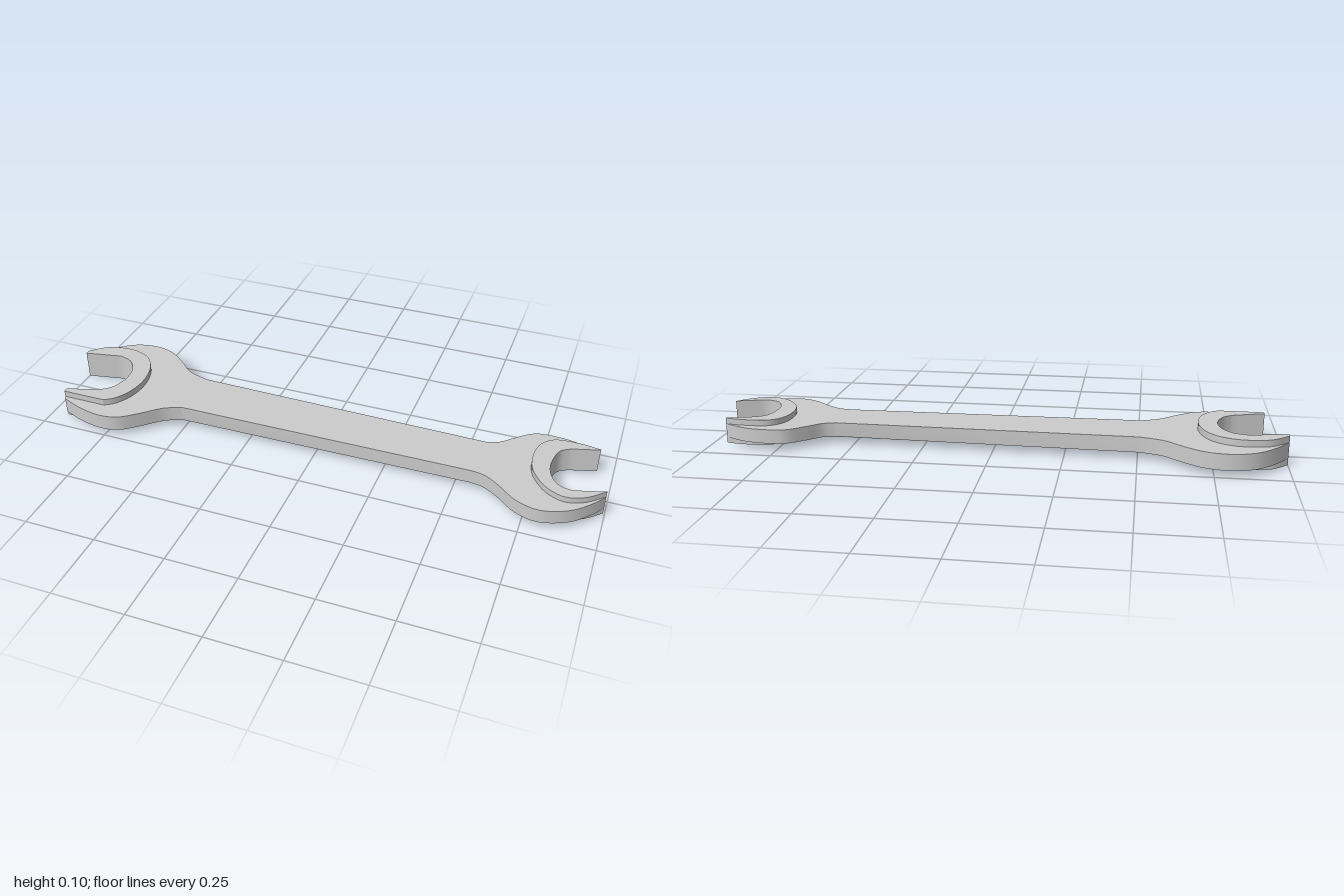
import * as THREE from 'three';
import { toCreasedNormals } from 'three/addons/utils/BufferGeometryUtils.js';

const steel = new THREE.MeshStandardMaterial({ color: 0xcccccc });

// Smooth curve through a few [x, z] points
function curve(points) {
  return new THREE.SplineCurve(points.map(([x, z]) => new THREE.Vector2(x, z)))
    .getPoints((points.length - 1) * 4);
}

// Flat plate from joined curves, lying in the xz plane between y = low and y = high
function plate(name, curves, low, high) {
  const outline = curves.flat().filter((p, i, all) => i === 0 || p.distanceTo(all[i - 1]) > 1e-4);
  if (outline[0].distanceTo(outline[outline.length - 1]) < 1e-4) outline.pop();
  const geometry = new THREE.ExtrudeGeometry(new THREE.Shape(outline), {
    depth: 1, bevelEnabled: false,
  });
  geometry.rotateX(Math.PI / 2);
  const pos = geometry.attributes.position;
  for (let i = 0; i < pos.count; i++) {
    const x = pos.getX(i);
    pos.setY(i, pos.getY(i) > -0.5 ? high(x) : low(x));
  }
  const mesh = new THREE.Mesh(toCreasedNormals(geometry, 0.5), steel);
  mesh.name = name;
  return mesh;
}

export function createModel() {
  const group = new THREE.Group();
  group.name = 'openEndedWrench';

  // Back edges of the raised jaws, from the back (-z) tip to the front (+z) tip
  const largeSeat = curve([[-1, -0.09], [-0.945, -0.14], [-0.89, -0.156], [-0.825, -0.156],
    [-0.76, -0.125], [-0.72, -0.065], [-0.703, 0.02], [-0.715, 0.1], [-0.745, 0.155],
    [-0.78, 0.182]]).concat(curve([[-0.78, 0.182], [-0.94, 0.182]]));
  const smallSeat = curve([[0.945, -0.148], [0.885, -0.157], [0.82, -0.157], [0.78, -0.146],
    [0.748, -0.11], [0.735, -0.05], [0.745, 0.03], [0.79, 0.1], [0.84, 0.135],
    [0.885, 0.142], [0.94, 0.12], [0.995, 0.07]]);

  // Jaw openings, from the front tip back to the back tip
  const largeOpening = [
    ...curve([[-0.942, 0.165], [-0.825, 0.127]]),
    ...curve([[-0.825, 0.127], [-0.79, 0.095], [-0.77, 0.03], [-0.78, -0.035],
      [-0.815, -0.083], [-0.865, -0.1]]),
    ...curve([[-0.865, -0.1], [-1, -0.073]]),
  ];
  const smallOpening = [
    ...curve([[0.995, 0.07], [0.895, 0.1]]),
    ...curve([[0.895, 0.1], [0.865, 0.098], [0.83, 0.078], [0.805, 0.03], [0.8, -0.025],
      [0.815, -0.09], [0.85, -0.117]]),
    ...curve([[0.85, -0.117], [0.945, -0.145]]),
  ];

  // Outer edges: heads flowing into the tapered handle
  const backEdge = [
    ...curve([[-1, -0.09], [-0.945, -0.165], [-0.88, -0.222], [-0.8, -0.244], [-0.72, -0.23],
      [-0.655, -0.187], [-0.585, -0.127], [-0.505, -0.1]]),
    ...curve([[0.565, -0.083], [0.61, -0.1], [0.66, -0.147], [0.715, -0.19], [0.78, -0.198],
      [0.86, -0.188], [0.945, -0.148]]),
  ];
  const frontEdge = [
    ...curve([[0.995, 0.07], [0.96, 0.12], [0.895, 0.18], [0.805, 0.211], [0.725, 0.189],
      [0.66, 0.136], [0.605, 0.1], [0.555, 0.09]]),
    ...curve([[-0.505, 0.097], [-0.57, 0.125], [-0.64, 0.188], [-0.7, 0.232], [-0.77, 0.243],
      [-0.855, 0.226], [-0.933, 0.195]]),
  ];

  // Body, slightly thinner towards the small end
  const half = (x) => 0.0265 - 0.002 * x;
  group.add(plate('body',
    [backEdge, smallSeat, frontEdge, [...largeSeat].reverse()],
    (x) => 0.0515 - half(x), (x) => 0.0515 + half(x)));

  // Raised jaws, standing proud on both faces
  group.add(plate('largeJaw', [largeSeat, largeOpening], () => 0, () => 0.103));
  group.add(plate('smallJaw', [smallSeat, smallOpening], () => 0.006, () => 0.097));

  return group;
}
